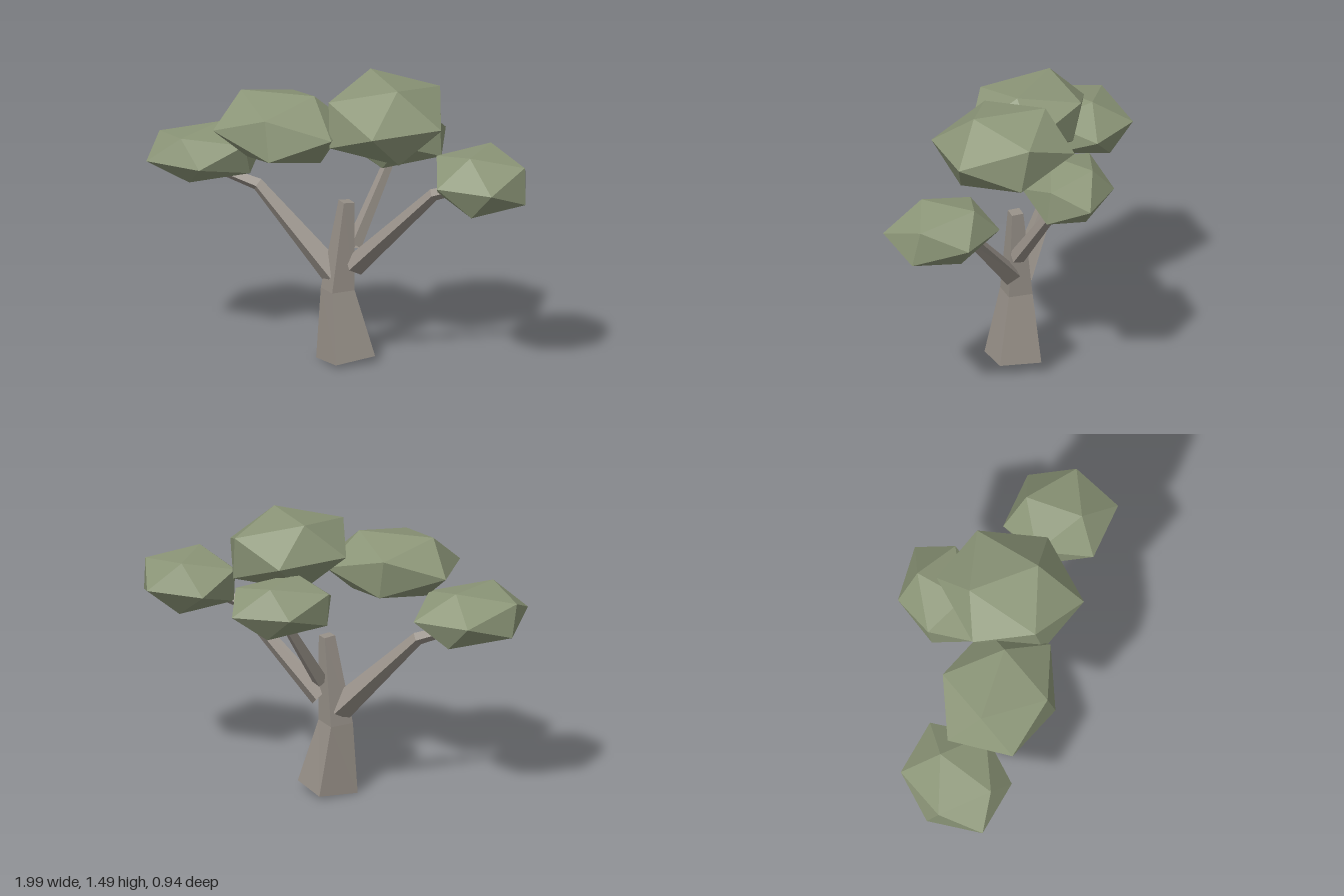
import * as THREE from 'three';
import { ConvexGeometry } from 'three/addons/geometries/ConvexGeometry.js';

const V = (a) => new THREE.Vector3(...a);

// Four-sided tapering limb through a list of [x, y, z, radius] stations, open at the base
function limbGeometry(stations) {
  const sides = 4;
  const centres = stations.map((s) => V(s.slice(0, 3)));
  const last = centres.length - 1;
  const rings = centres.map((c, i) => {
    const t = new THREE.Vector3();
    if (i > 0) t.add(c.clone().sub(centres[i - 1]).normalize());
    if (i < last) t.add(centres[i + 1].clone().sub(c).normalize());
    t.normalize();
    const u = t.clone().cross(new THREE.Vector3(0, 0, 1)).normalize();
    const v = u.clone().cross(t);
    return Array.from({ length: sides }, (_, j) => {
      const a = (j / sides) * Math.PI * 2;
      return c.clone()
        .addScaledVector(u, Math.cos(a) * stations[i][3])
        .addScaledVector(v, Math.sin(a) * stations[i][3]);
    });
  });
  const pts = [];
  for (let i = 0; i < last; i++) {
    for (let j = 0; j < sides; j++) {
      const k = (j + 1) % sides;
      const [a, b, c, d] = [rings[i][j], rings[i][k], rings[i + 1][k], rings[i + 1][j]];
      pts.push(a, d, c, a, c, b);
    }
  }
  const end = rings[last];
  for (let j = 1; j + 1 < sides; j++) pts.push(end[0], end[j + 1], end[j]);
  const geometry = new THREE.BufferGeometry().setFromPoints(pts);
  geometry.computeVertexNormals();
  return geometry;
}

// Skewed icosahedron: one face's corners (relative to the centre) fix all twelve vertices
function clumpGeometry(a, b, c) {
  const [A, B, C] = [a, b, c].map(V);
  const g = (Math.sqrt(5) - 1) / 2;
  const across = (p, q, r) => p.clone().add(q).multiplyScalar(g).sub(r);
  const half = [A, B, C, across(A, B, C), across(B, C, A), across(C, A, B)];
  return new ConvexGeometry([...half, ...half.map((p) => p.clone().negate())]);
}

export function createModel() {
  const tree = new THREE.Group();
  tree.name = 'tree';

  const bark = new THREE.MeshStandardMaterial({ color: 0x979088, side: THREE.DoubleSide });
  bark.name = 'bark';
  const leaf = new THREE.MeshStandardMaterial({ color: 0x8c9678 });
  leaf.name = 'leaf';

  const add = (name, geometry, material) => {
    const mesh = new THREE.Mesh(geometry, material);
    mesh.name = name;
    tree.add(mesh);
    return mesh;
  };

  // Trunk and branches
  const limbs = {
    trunk: [[0, 0.02, 0.12, 0.158], [-0.042, 0.375, 0.12, 0.09], [0, 0.838, 0.105, 0.043]],
    rightBranch: [[-0.06, 0.445, 0.112, 0.07], [-0.48, 0.875, 0.08, 0.034], [-0.64, 0.93, 0.1, 0.026]],
    leftBranch: [[0.04, 0.5, 0.115, 0.056], [0.49, 0.945, 0.19, 0.032], [0.66, 1.0, 0.19, 0.026]],
    backBranch: [[0.03, 0.6, 0.085, 0.042], [0.145, 1.03, -0.22, 0.026]],
  };
  for (const [name, stations] of Object.entries(limbs)) add(name, limbGeometry(stations), bark);

  // Foliage: centre, then the three corners of one face
  const clumps = {
    topFoliage: [[0.197, 1.296, 0.085], [0.105, 0.178, 0.115], [0.33, -0.012, 0.095], [0.055, -0.012, 0.373]],
    frontFoliage: [[-0.322, 1.228, 0.19], [0, 0.1, 0.257], [0.325, 0, 0.17], [0.17, 0.168, -0.025]],
    leftFoliage: [[0.74, 1.042, 0.18], [0.235, 0.09, 0.01], [0.14, 0, 0.26], [-0.02, 0.148, 0.12]],
    rightFoliage: [[-0.755, 1.025, 0.1], [0.06, -0.015, 0.275], [-0.24, -0.01, 0.215], [-0.05, -0.138, 0.1]],
    backFoliage: [[0.14, 1.102, -0.25], [0.2, -0.005, -0.215], [-0.1, 0, -0.21], [0.02, 0.14, -0.145]],
  };
  for (const [name, [centre, ...face]] of Object.entries(clumps)) {
    add(name, clumpGeometry(...face), leaf).position.set(...centre);
  }

  return tree;
}
